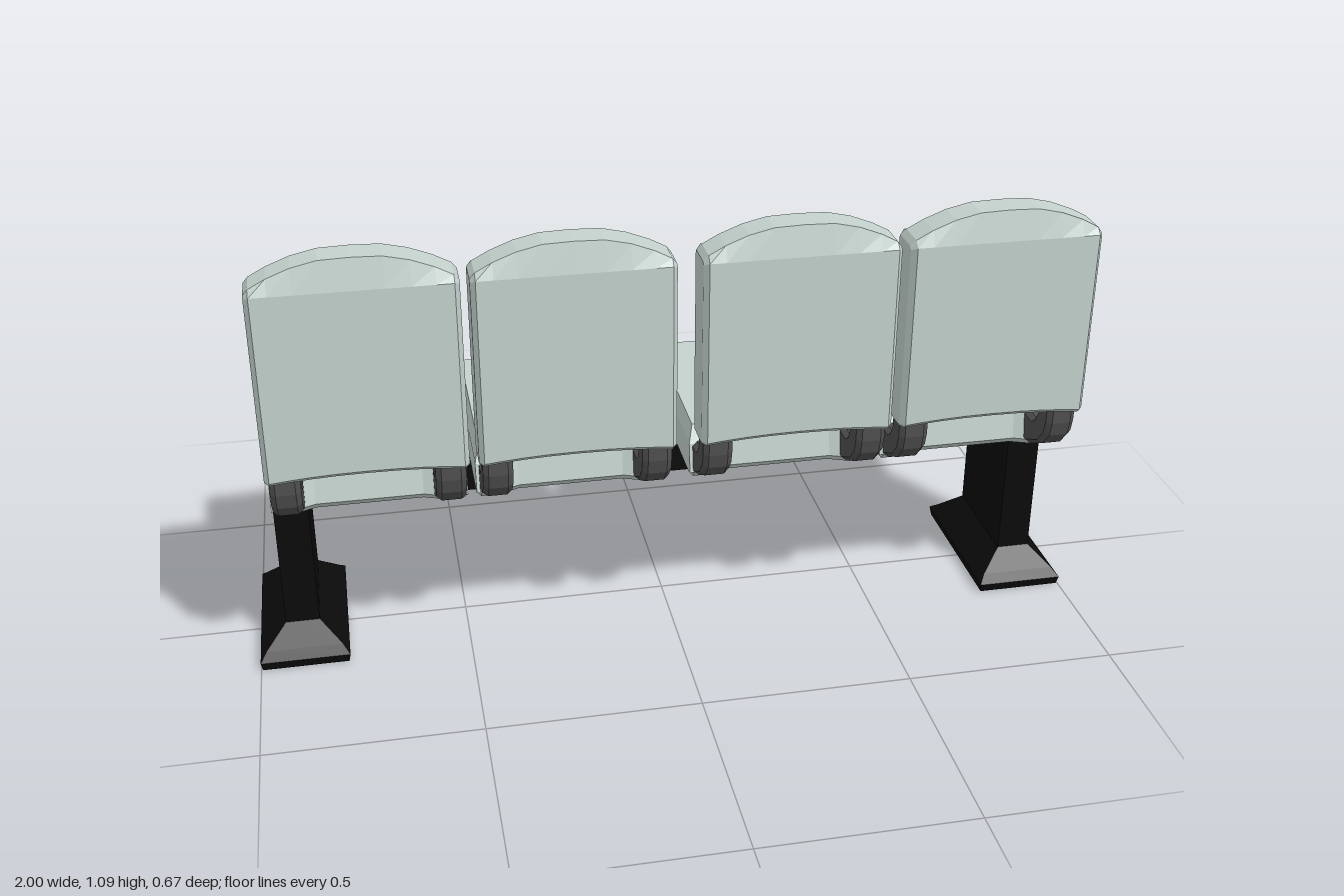
import * as THREE from 'three';

const material = (color) => new THREE.MeshStandardMaterial({ color, flatShading: true });

// Closed solid from a list of equal-length rings, with a fan cap at each end.
function loft(rings) {
  const n = rings[0].length, last = (rings.length - 1) * n, index = [];
  for (let r = 0; r < rings.length - 1; r++) {
    for (let i = 0; i < n; i++) {
      const a = r * n + i, b = r * n + (i + 1) % n;
      index.push(a, b, a + n, b, b + n, a + n);
    }
  }
  for (let i = 1; i < n - 1; i++) {
    index.push(0, i + 1, i, last, last + i, last + i + 1);
  }
  const geometry = new THREE.BufferGeometry();
  geometry.setAttribute('position', new THREE.Float32BufferAttribute(rings.flat(2), 3));
  geometry.setIndex(index);
  const flat = geometry.toNonIndexed();
  flat.computeVertexNormals();
  return flat;
}

const HALF = 0.222;
const STEPS = [-1, -0.95, -0.78, -0.55, -0.3, 0, 0.3, 0.55, 0.78, 0.95, 1];

// Loft a (z, y) section, which varies with u from -1 to 1, across a seat's width.
const acrossWidth = (section) =>
  loft(STEPS.map((u) => section(Math.abs(u)).map(([z, y]) => [u * HALF, y, z])));

// Cushion: square at the back, bowed and sloped at the front edge.
function seatSection(u) {
  const front = -0.29 - 0.045 * (1 - u ** 2.2);
  const back = u < 0.7 ? -0.02 : 0;
  const end = u === 1;
  const top = end ? 0.515 : 0.55, bottom = end ? 0.435 : 0.42;
  return [
    [0.165 + back, top], [0.188 + back, 0.51], [0.2 + back, 0.44], [0.18 + back, bottom],
    [-0.28, bottom], [front, 0.437], [front, 0.5], [-0.283, top],
  ];
}

// Backrest: arched top, flat rear, padding bulging toward the sitter.
function backSection(u) {
  if (u === 1) {
    return [
      [0.315, 1.022], [0.32, 1.015], [0.32, 0.588], [0.315, 0.582], [0.245, 0.582],
      [0.24, 0.65], [0.24, 0.75], [0.24, 0.9], [0.24, 1.015], [0.245, 1.022],
    ];
  }
  const bulge = 1 - u ** 2.2;
  const top = 1.03 + 0.062 * Math.min(1, bulge * 1.04);
  const front = 0.228 - 0.028 * bulge;
  const low = 0.577 + 0.012 * bulge;
  return [
    [0.32, top], [0.335, 1.023], [0.335, low + 0.01], [0.325, low], [0.232, low],
    [front + 0.016, 0.65], [front + 0.004, 0.75], [front, 0.9], [front + 0.008, 1.03], [0.25, top],
  ];
}

// Bent arm joining cushion and backrest, extruded along x.
function armGeometry() {
  const shape = new THREE.Shape();
  shape.moveTo(0.165, 0.445);
  shape.lineTo(0.2, 0.445);
  shape.lineTo(0.265, 0.479);
  shape.lineTo(0.295, 0.513);
  shape.lineTo(0.303, 0.545);
  shape.lineTo(0.303, 0.6);
  shape.lineTo(0.257, 0.6);
  shape.lineTo(0.257, 0.545);
  shape.lineTo(0.242, 0.518);
  shape.lineTo(0.222, 0.505);
  shape.lineTo(0.165, 0.505);
  const geometry = new THREE.ExtrudeGeometry(shape, {
    depth: 0.044, bevelEnabled: true, bevelThickness: 0.012, bevelSize: 0.01, bevelSegments: 1,
  });
  geometry.translate(0, 0, -0.022);
  geometry.rotateY(-Math.PI / 2);
  return geometry;
}

// Post with a flared foot, from rectangular rings: y, half width, half depth.
function legGeometry() {
  const profile = [
    [0, 0.101, 0.194], [0.022, 0.105, 0.2], [0.04, 0.09, 0.178],
    [0.088, 0.04, 0.133], [0.416, 0.04, 0.133],
  ];
  return loft(profile.map(([y, w, d]) => [[-w, y, -d], [-w, y, d], [w, y, d], [w, y, -d]]));
}

export function createModel() {
  const model = new THREE.Group();
  model.name = 'bench';
  const padMaterial = material(0xc4d2cd);
  const armMaterial = material(0x505050);
  const frameMaterial = material(0x0b0b0b);

  const add = (parent, name, geometry, mat, x, y = 0, z = 0) => {
    const mesh = new THREE.Mesh(geometry, mat);
    mesh.name = name;
    mesh.position.set(x, y, z);
    parent.add(mesh);
  };

  // Four seats, in two pairs
  const cushion = acrossWidth(seatSection);
  const backrest = acrossWidth(backSection);
  const arm = armGeometry();
  [-0.712, -0.248, 0.252, 0.715].forEach((x, i) => {
    const seat = new THREE.Group();
    seat.name = `seat${i + 1}`;
    seat.position.x = x;
    add(seat, 'cushion', cushion, padMaterial, 0);
    add(seat, 'backrest', backrest, padMaterial, 0);
    add(seat, 'rightArm', arm, armMaterial, -0.18);
    add(seat, 'leftArm', arm, armMaterial, 0.18);
    model.add(seat);
  });

  // Supporting frame
  const leg = legGeometry();
  add(model, 'rightLeg', leg, frameMaterial, -0.895, 0, -0.017);
  add(model, 'leftLeg', leg, frameMaterial, 0.895, 0, -0.017);
  add(model, 'beam', new THREE.BoxGeometry(1.74, 0.063, 0.07), frameMaterial, 0, 0.386, -0.003);
  return model;
}
